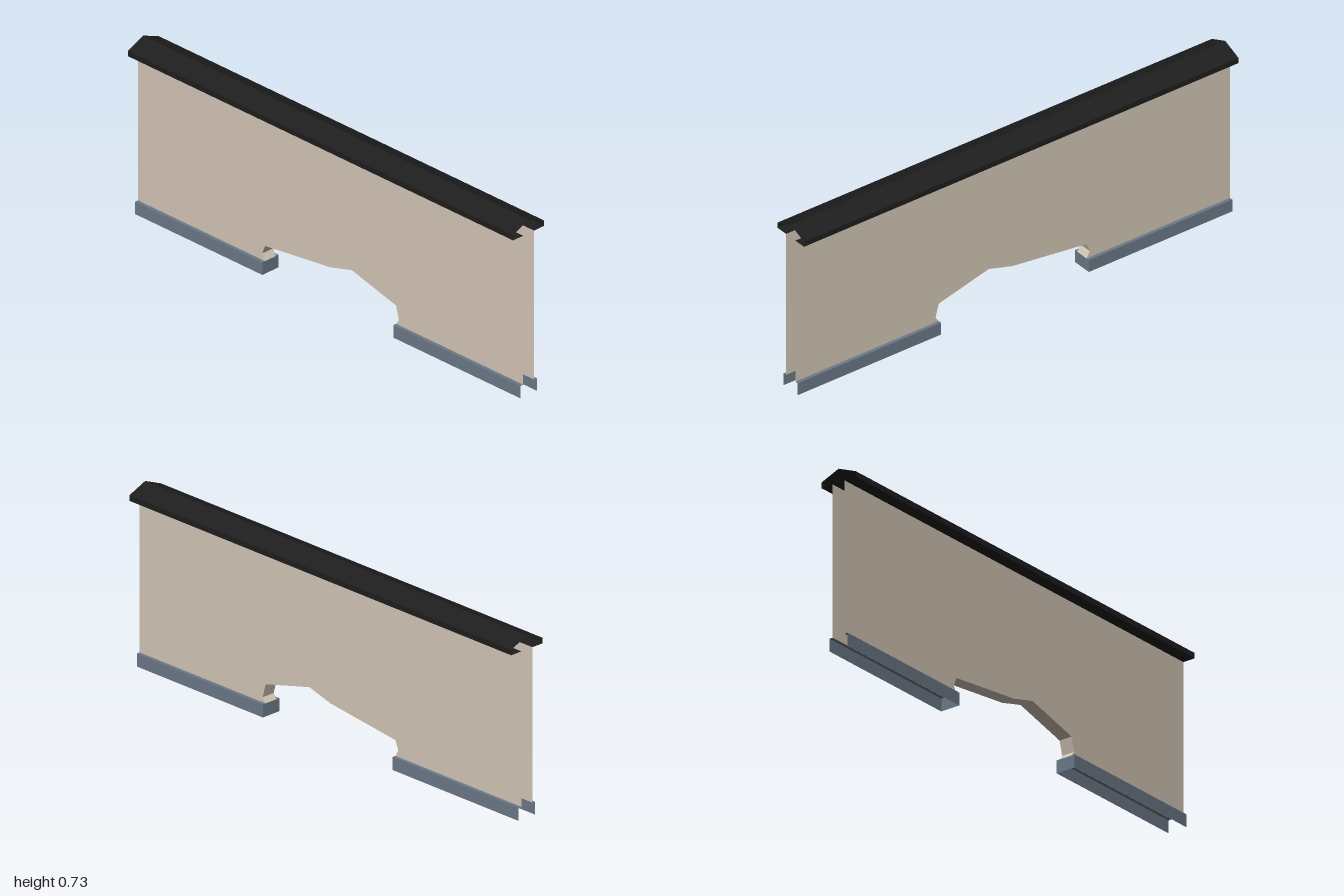
import * as THREE from 'three';

const material = (name, color) => {
  const m = new THREE.MeshStandardMaterial({ color, side: THREE.DoubleSide });
  m.name = name;
  return m;
};

// Flat quads swept between matching points of two 3D outlines
function ruled(a, b) {
  const pos = [];
  for (let i = 0; i < a.length - 1; i++) {
    pos.push(...a[i], ...b[i], ...b[i + 1], ...a[i], ...b[i + 1], ...a[i + 1]);
  }
  const g = new THREE.BufferGeometry();
  g.setAttribute('position', new THREE.Float32BufferAttribute(pos, 3));
  g.computeVertexNormals();
  return g;
}

// Open-ended strip along x from a [z, y] profile
const alongX = (profile, x0, x1) => ruled(
  profile.map(([z, y]) => [x0, y, z]),
  profile.map(([z, y]) => [x1, y, z]));

export function createModel() {
  const model = new THREE.Group();
  const stone = material('beige wall', 0xd3c6b6);
  const slate = material('blue grey base', 0x6b7987);
  const dark = material('black coping', 0x1e1e1e);

  const add = (name, geometry, mat) => {
    const mesh = new THREE.Mesh(geometry, mat);
    mesh.name = name;
    model.add(mesh);
  };

  const wallZ = 0.028, baseZ = 0.042, roofZ = 0.08;
  const baseY = 0.052, eaveY = 0.67, fasciaY = 0.692, ridgeY = 0.725;
  const gapX = 0.34;

  // Ragged opening, from left to right
  const opening = [
    [-0.34, baseY], [-0.355, 0.078], [-0.34, 0.115], [0, 0.156],
    [0.11, 0.187], [0.34, 0.128], [0.355, 0.072], [0.34, baseY],
  ];

  // Wall faces with the opening cut out of the lower edge
  const wallFace = (sign) => {
    const outline = [[-1, baseY], ...opening, [1, baseY], [1, eaveY], [-1, eaveY]];
    const shape = new THREE.Shape(outline.map(([x, y]) => new THREE.Vector2(sign * x, y)));
    const g = new THREE.ShapeGeometry(shape);
    if (sign < 0) g.rotateY(Math.PI);
    return g.translate(0, 0, sign * wallZ);
  };
  add('wallFront', wallFace(1), stone);
  add('wallBack', wallFace(-1), stone);

  // Inner lining of the opening
  add('openingLining', ruled(
    opening.map(([x, y]) => [x, y, -wallZ]),
    opening.map(([x, y]) => [x, y, wallZ])), stone);

  // Hollow footings on both sides of the opening: skirt, ledge and inner end
  for (const side of [-1, 1]) {
    const x0 = side < 0 ? -1 : gapX;
    const x1 = side < 0 ? -gapX : 1;
    const label = side < 0 ? 'Right' : 'Left';
    add('footingFront' + label, alongX([[wallZ, baseY], [baseZ, baseY], [baseZ, 0]].reverse(), x0, x1), slate);
    add('footingBack' + label, alongX([[-wallZ, baseY], [-baseZ, baseY], [-baseZ, 0]], x0, x1), slate);
    const end = new THREE.PlaneGeometry(baseZ * 2, baseY);
    end.rotateY(-side * Math.PI / 2).translate(side * gapX, baseY / 2, 0);
    add('footingEnd' + label, end, slate);
  }

  // Gabled coping with fascias and soffits, open at the ends
  add('coping', alongX([
    [wallZ, eaveY], [roofZ, eaveY], [roofZ, fasciaY], [0, ridgeY],
    [-roofZ, fasciaY], [-roofZ, eaveY], [-wallZ, eaveY],
  ], -1, 1), dark);

  return model;
}
